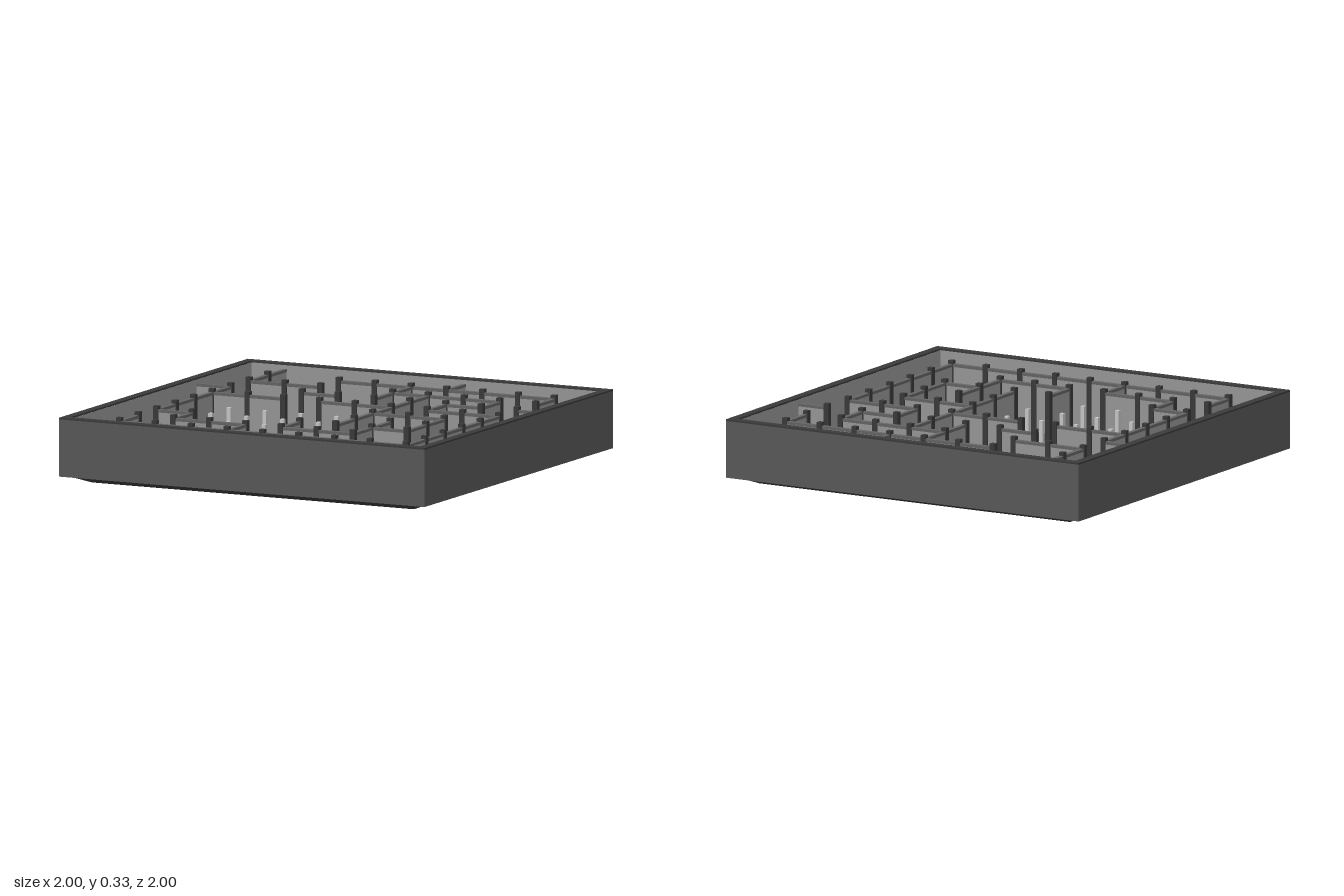
import * as THREE from 'three';

// Walls per grid line: each character is one gap, '#' wall, '.' open.
// The first and last gaps reach the outer frame.
const COLUMNS = [ // lines along z, from left to right
  '##.####.#.',
  '.......#..',
  '..........',
  '........#.',
  '.##....#..',
  '#.#####...',
  '...#..##..',
  '..#..##...',
  '.#..#####.',
];
const ROWS = [ // lines along x, from back to front
  '...######.',
  '.##..###..',
  '#..#...#.#',
  '.##.##.##.',
  '......##..',
  '..........',
  '.#.....#..',
  '..##.##...',
  '.########.',
];
const PINS = [[1, 4], [2, 4], [3, 4], [4, 4], [1, 5], [2, 5], [3, 5], [4, 5], [2, 6], [3, 6]];

const FLOOR = 0.065, WALL_TOP = 0.305, POST_TOP = 0.322, RIM = 0.332, INNER = 0.955;
const at = (i) => (i < 0 ? -INNER : i > 8 ? INNER : -0.773 + i * 0.196);

const mat = (color) => new THREE.MeshStandardMaterial({ color });
const dark = mat(0x3a3a3a), floorGrey = mat(0x444343), frameGrey = mat(0x5a5a5a);
const wallGrey = mat(0x9a9a9a), railGrey = mat(0x666666), pinGrey = mat(0xcccccc), blue = mat(0x3b86bd);

export function createModel() {
  const model = new THREE.Group();

  // Box given by its centre on the floor plane, bottom and top heights
  function box(name, parent, m, x, z, w, d, y0, y1) {
    const mesh = new THREE.Mesh(new THREE.BoxGeometry(w, y1 - y0, d), m);
    mesh.position.set(x, (y0 + y1) / 2, z);
    mesh.name = name;
    parent.add(mesh);
  }
  function group(name) {
    const g = new THREE.Group();
    g.name = name;
    model.add(g);
    return g;
  }

  // Tapered underside: a square lathe turned so its sides face the axes
  const r = Math.SQRT2;
  const profile = [[0, 0], [0.77, 0], [0.88, 0.005], [0.955, 0.037], [0.99, 0.042], [0.99, 0.06], [0, 0.06]]
    .map(([h, y]) => new THREE.Vector2(h * r, y));
  const baseGeo = new THREE.LatheGeometry(profile, 4, Math.PI / 4).toNonIndexed();
  baseGeo.computeVertexNormals();
  const base = new THREE.Mesh(baseGeo, dark);
  base.name = 'taperedBase';
  model.add(base);

  box('floor', model, floorGrey, 0, 0, 1.96, 1.96, 0.05, FLOOR);

  // Outer frame with dark rim and pale inner lining
  const frame = group('outerFrame');
  for (const s of [-1, 1]) {
    for (const turned of [false, true]) {
      const side = (name, m, c, thick, len, y0, y1) => turned
        ? box(name, frame, m, s * c, 0, thick, len, y0, y1)
        : box(name, frame, m, 0, s * c, len, thick, y0, y1);
      const len = turned ? 1.92 : 2;
      side('framePanel', frameGrey, 0.98, 0.04, len, 0.042, RIM - 0.008);
      side('frameRim', dark, 0.978, 0.044, len, RIM - 0.008, RIM);
      side('frameLining', wallGrey, 0.9575, 0.005, 1.92, FLOOR, RIM - 0.008);
    }
  }

  // Inner walls with top rails, and blue floor strips in the open gaps
  const walls = group('innerWalls'), strips = group('floorStrips');
  const used = new Set();
  function gridLine(line, pattern, alongX) {
    [...pattern].forEach((c, k) => {
      const a = at(k - 1), b = at(k), mid = (a + b) / 2, len = b - a;
      const put = (name, parent, m, thick, y0, y1) => alongX
        ? box(name, parent, m, mid, at(line), len, thick, y0, y1)
        : box(name, parent, m, at(line), mid, thick, len, y0, y1);
      if (c === '#') {
        put('wallPanel', walls, wallGrey, 0.016, FLOOR, WALL_TOP - 0.014);
        put('wallRail', walls, railGrey, 0.022, WALL_TOP - 0.014, WALL_TOP);
        for (const n of [k - 1, k]) {
          if (n >= 0 && n <= 8) used.add(alongX ? n * 9 + line : line * 9 + n);
        }
      } else {
        put('floorStrip', strips, blue, 0.022, FLOOR - 0.005, FLOOR + (alongX ? 0.003 : 0.004));
      }
    });
  }
  COLUMNS.forEach((p, i) => gridLine(i, p, false));
  ROWS.forEach((p, j) => gridLine(j, p, true));

  // Posts wherever a wall meets a grid crossing
  const posts = group('wallPosts');
  for (const n of used) {
    box('wallPost', posts, dark, at(Math.floor(n / 9)), at(n % 9), 0.027, 0.027, FLOOR, POST_TOP);
  }

  // Shorter pale pins on the free crossings
  const pins = group('freePins');
  for (const [i, j] of PINS) box('freePin', pins, pinGrey, at(i), at(j), 0.02, 0.02, FLOOR, 0.272);

  return model;
}
